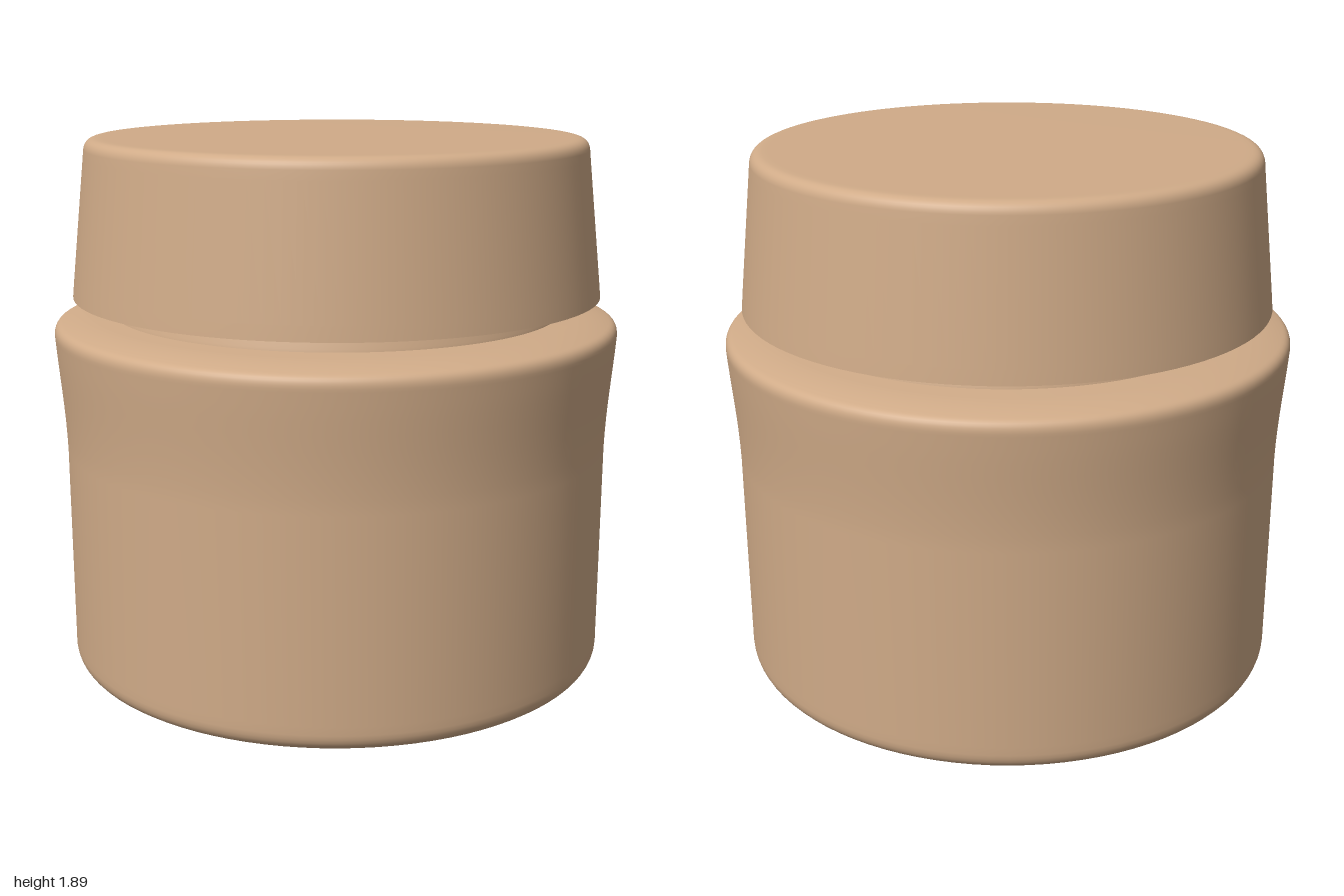
import * as THREE from 'three';

// Revolve a profile (drawn bottom to top) around the y axis
function revolve(name, path, material) {
  const mesh = new THREE.Mesh(new THREE.LatheGeometry(path.getPoints(8), 96), material);
  mesh.name = name;
  return mesh;
}

export function createModel() {
  const tan = new THREE.MeshStandardMaterial({ color: 0xd0ab88 });
  tan.name = 'tan';
  const group = new THREE.Group();
  group.name = 'jar';

  // Jar body: rounded base, straight wall flaring to a soft shoulder
  const body = new THREE.Path()
    .moveTo(0, 0)
    .lineTo(0.87, 0)
    .lineTo(0.89, 0.002)
    .quadraticCurveTo(0.965, 0.005, 0.967, 0.07)
    .lineTo(0.967, 0.1)
    .lineTo(0.969, 0.8)
    .bezierCurveTo(0.972, 0.95, 0.99, 1.08, 0.998, 1.2)
    .quadraticCurveTo(1.004, 1.245, 0.97, 1.254)
    .quadraticCurveTo(0.92, 1.27, 0.86, 1.276)
    .lineTo(0.79, 1.282);
  const bodyMesh = revolve('jarBody', body, tan);
  bodyMesh.position.x = -0.003;
  group.add(bodyMesh);

  // Neck between the shoulder and the lid
  const neck = new THREE.Path().moveTo(0.8, 1.27).lineTo(0.797, 1.29).lineTo(0.78, 1.342);
  group.add(revolve('neck', neck, tan));

  // Lid: tapered wall with a small rounded top edge
  const lid = new THREE.Path()
    .moveTo(0.933, 1.34)
    .lineTo(0.928, 1.39)
    .lineTo(0.882, 1.82)
    .lineTo(0.879, 1.85)
    .quadraticCurveTo(0.874, 1.887, 0.835, 1.889)
    .lineTo(0.815, 1.89)
    .lineTo(0, 1.89);
  group.add(revolve('lid', lid, tan));

  // Flat underside of the lid rim
  const rim = new THREE.Path().moveTo(0.77, 1.34).lineTo(0.933, 1.34);
  group.add(revolve('lidUnderside', rim, tan));

  return group;
}
